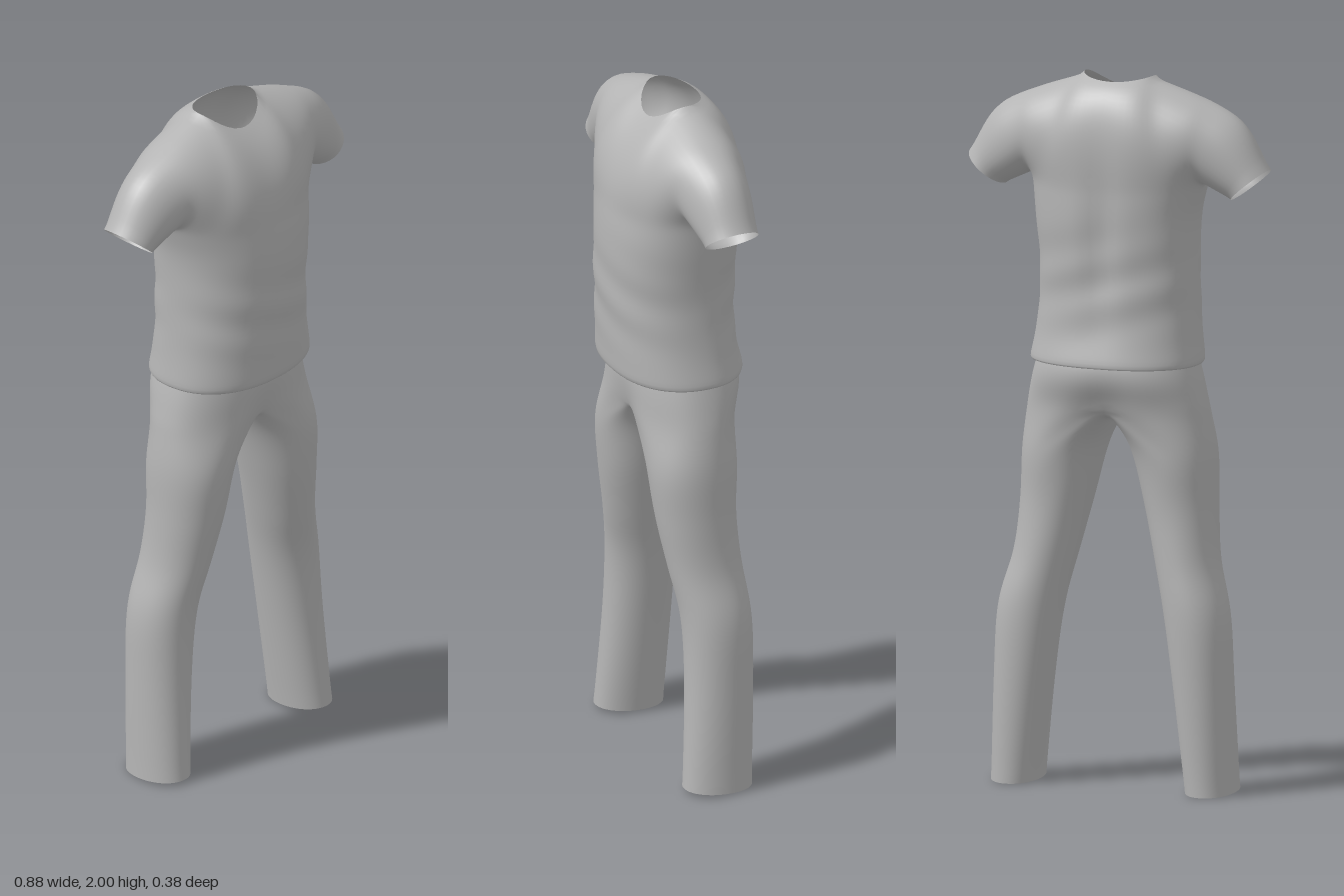
import * as THREE from 'three';
import { mergeGeometries, mergeVertices } from 'three/addons/utils/BufferGeometryUtils.js';

const N = 64;          // points round the body and each leg
const ROWS = 16;       // rows from armpit to shoulder
const V = (x, y, z) => new THREE.Vector3(x, y, z);
const TAU = Math.PI * 2;

// Surface through rows of points
function grid(rows, flip = false) {
  const w = rows[0].length, pos = [], idx = [];
  rows.forEach(r => r.forEach(p => pos.push(p.x, p.y, p.z)));
  for (let j = 0; j < rows.length - 1; j++) {
    for (let i = 0; i < w - 1; i++) {
      const a = j * w + i, b = a + 1, c = a + w, d = c + 1;
      if (flip) idx.push(a, d, b, a, c, d);
      else idx.push(a, b, d, a, d, c);
    }
  }
  const g = new THREE.BufferGeometry();
  g.setAttribute('position', new THREE.Float32BufferAttribute(pos, 3));
  g.setIndex(idx);
  return g;
}

// Smooth tube of cloth through key rings
function loft(keys, steps, flip) {
  const curves = keys[0].map((_, i) => new THREE.CatmullRomCurve3(keys.map(k => k[i]), false, 'catmullrom', 0.5));
  const rows = [];
  for (let j = 0; j <= steps; j++) {
    const r = curves.map(c => c.getPoint(j / steps));
    r.push(r[0].clone());
    rows.push(r);
  }
  return grid(rows, flip);
}

// Horizontal body ring: half width, centre x, front z, back z
const round = (v, p) => Math.sign(v) * Math.pow(Math.abs(v), 2 / p);
function ringPoint(a, y, w, cx, zf, zb, zc, p = 2.25) {
  const c = round(Math.cos(a), p);
  return V(cx + w * round(Math.sin(a), p), y, zc + (c > 0 ? zf - zc : zc - zb) * c);
}
const ring = (...args) => Array.from({ length: N }, (_, i) => ringPoint(i / N * TAU, ...args));

// Weld the panels, relax the seams, then apply an optional cloth rule
function sew(parts, passes, rule) {
  const g = mergeVertices(mergeGeometries(parts), 1e-4);
  const p = g.attributes.position, ix = g.index.array;
  const near = Array.from({ length: p.count }, () => new Map());
  for (let t = 0; t < ix.length; t += 3) {
    for (let k = 0; k < 3; k++) {
      const a = ix[t + k], b = ix[t + (k + 1) % 3];
      near[a].set(b, (near[a].get(b) || 0) + 1);
      near[b].set(a, (near[b].get(a) || 0) + 1);
    }
  }
  const open = near.map(m => [...m.values()].some(n => n < 2));
  const v = V(0, 0, 0), sum = V(0, 0, 0);
  for (let n = 0; n < passes; n++) {
    const old = p.clone();
    near.forEach((m, i) => {
      if (open[i]) return;
      sum.set(0, 0, 0);
      for (const k of m.keys()) sum.add(v.fromBufferAttribute(old, k));
      v.fromBufferAttribute(old, i).lerp(sum.divideScalar(m.size), 0.5);
      p.setXYZ(i, v.x, v.y, v.z);
    });
  }
  for (let i = 0; i < p.count; i++) {
    rule(v.fromBufferAttribute(p, i));
    p.setXYZ(i, v.x, v.y, v.z);
  }
  g.computeVertexNormals();
  return g;
}

function shirtGeometry() {
  const zc = -0.012, armpitY = 1.705;
  const chest = [armpitY, 0.25, 0, 0.185, -0.17, zc];
  const parts = [];

  // Body from hem to armpits
  parts.push(loft([
    ring(1.183, 0.25, 0.01, 0.186, -0.19, zc),
    ring(1.3, 0.232, 0.005, 0.19, -0.165, zc),
    ring(1.45, 0.224, 0.003, 0.195, -0.165, zc),
    ring(1.6, 0.233, 0.008, 0.196, -0.172, zc),
    ring(...chest),
  ], 36));
  // Turned-in hem
  const lip = [ring(1.195, 0.238, 0.01, 0.172, -0.177, zc), ring(1.183, 0.25, 0.01, 0.186, -0.19, zc)];
  parts.push(grid(lip.map(r => [...r, r[0]])));

  const armhole = f => V(0.25, 1.825 - 0.12 * Math.cos(f), zc + 0.112 * Math.sin(f));
  const cuff = f => V(0.388 - 0.052 * Math.cos(f), 1.711 - 0.044 * Math.cos(f), -0.015 + 0.077 * Math.sin(f));
  const mirror = (q, s) => V(q.x * s, q.y, q.z);

  // Chest and back panels, blended between their four edges
  for (const side of [1, -1]) {
    const neckY = side > 0 ? 1.945 : 1.985;
    const middle = side > 0
      ? new THREE.QuadraticBezierCurve3(V(0, armpitY, 0.185), V(0, 1.84, 0.17), V(0, neckY, zc + 0.077))
      : new THREE.QuadraticBezierCurve3(V(0, armpitY, -0.17), V(0, 1.95, -0.175), V(0, neckY, zc - 0.077));
    const bottom = u => ringPoint(side > 0 ? u * Math.PI / 2 : Math.PI * (1 - u / 2), ...chest);
    const top = u => {
      const a = Math.min(u * 2, 1) * Math.PI / 2;
      if (u <= 0.5) return V(0.103 * Math.sin(a), neckY + (1.998 - neckY) * Math.sin(a) ** 2, zc + side * 0.077 * Math.cos(a));
      return V(0.103, 1.998, zc).lerp(V(0.25, 1.945, zc), u * 2 - 1);
    };
    const panel = (u, t) => {
      const q = bottom(u).lerp(top(u), t).add(middle.getPoint(t).lerp(armhole(t * side * Math.PI), u));
      return q.sub(bottom(0).lerp(bottom(1), u).lerp(top(0).lerp(top(1), u), t));
    };
    for (const s of [1, -1]) {
      const rows = [];
      for (let j = 0; j <= ROWS; j++) {
        rows.push(Array.from({ length: N / 4 + 1 }, (_, i) => mirror(panel(i / (N / 4), j / ROWS), s)));
      }
      parts.push(grid(rows, side * s < 0));
    }
  }

  // Sleeves
  for (const s of [1, -1]) {
    const loop = fn => Array.from({ length: ROWS * 2 }, (_, k) => mirror(fn(k / (ROWS * 2) * TAU), s));
    const mid = f => {
      const up = Math.max(0, -Math.cos(f));
      return armhole(f).lerp(cuff(f), 0.5).add(V(0.02 * up, 0.035 * up, 0));
    };
    parts.push(loft([loop(armhole), loop(mid), loop(cuff)], 14, s > 0));
  }

  // Groove down the back and soft folds near the waist
  return sew(parts, 6, q => {
    if (q.z < -0.05) q.z += 0.018 * Math.exp(-((q.x / 0.045) ** 2) - ((q.y - 1.55) / 0.2) ** 2);
    const waist = Math.exp(-(((q.y - 1.42) / 0.12) ** 2));
    q.z += 0.003 * waist * Math.sin(q.y * 45 + q.x * 14);
  });
}

function trouserGeometry() {
  const zc = -0.01, splitY = 1.08;
  const parts = [];
  // Ring where the legs divide, dented at the centre
  const split = ring(splitY, 0.262, 0, 0.145, -0.15, zc);
  split.forEach(q => { q.z *= 1 - 0.2 * Math.exp(-((q.x / 0.05) ** 2)); });
  parts.push(loft([
    split,
    ring(1.18, 0.238, 0, 0.14, -0.178, zc),
    ring(1.3, 0.2, 0, 0.12, -0.13, zc),
  ], 14));

  // y, inner x, outer x, front z, back z
  const leg = [
    [0.008, 0.217, 0.358, 0.09, -0.11],
    [0.3, 0.183, 0.348, 0.071, -0.124],
    [0.5, 0.154, 0.337, 0.071, -0.128],
    [0.65, 0.12, 0.298, 0.095, -0.116],
    [0.8, 0.083, 0.285, 0.12, -0.11],
    [0.95, 0.043, 0.28, 0.134, -0.122],
  ];
  const front = split[0].z, back = split[N / 2].z;
  // Outer half of the hips closed by the crotch seam
  const thigh = split.map((q, i) => {
    if (i <= N / 2) return q.clone();
    const a = i / N * TAU;
    return V(0, splitY + 0.035 * Math.sin(a), (front + back) / 2 + (front - back) / 2 * Math.cos(a));
  });
  for (const s of [1, -1]) {
    const keys = leg.map(([y, xi, xo, zf, zb]) =>
      ring(y, (xo - xi) / 2, (xo + xi) / 2, zf, zb, (zf + zb) / 2, 2.1));
    keys[0].forEach(q => { q.y += q.z * 0.06; });
    keys.push(thigh);
    parts.push(loft(keys.map(k => k.map(q => V(q.x * s, q.y, q.z))), 60, s < 0));
  }
  // Slight sideways lean of the stance
  return sew(parts, 6, q => { q.x += 0.015 - 0.0085 * q.y; });
}

export function createModel() {
  const cloth = new THREE.MeshStandardMaterial({ color: 0xb4b4b4, side: THREE.DoubleSide });
  cloth.name = 'grey cloth';
  const group = new THREE.Group();
  group.name = 'outfit';
  for (const [name, geometry] of [['shirt', shirtGeometry()], ['trousers', trouserGeometry()]]) {
    const mesh = new THREE.Mesh(geometry, cloth);
    mesh.name = name;
    group.add(mesh);
  }
  return group;
}
